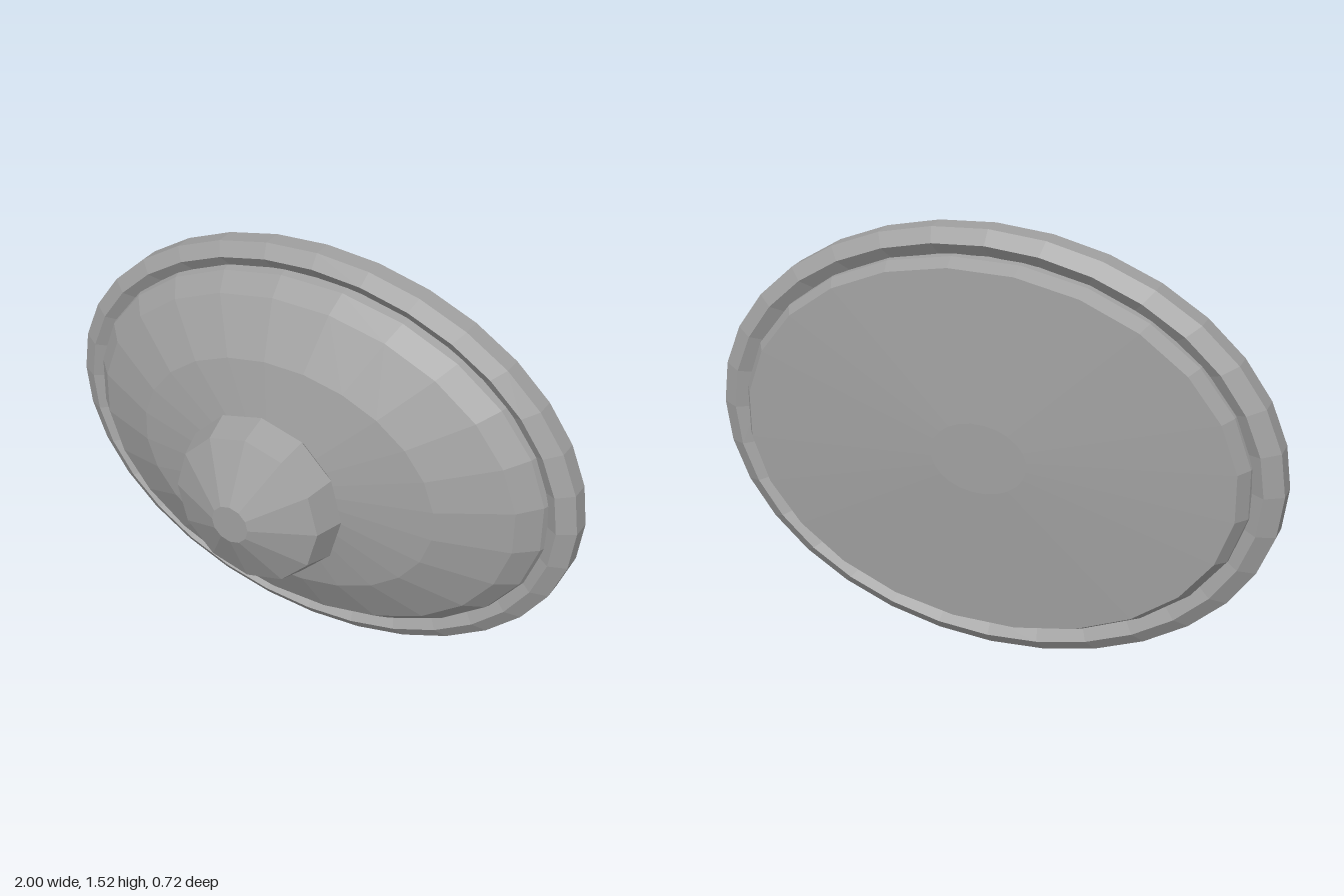
import * as THREE from 'three';

const CENTRE_Y = 0.76;

export function createModel() {
  const model = new THREE.Group();
  model.name = 'shield';
  const metal = new THREE.MeshStandardMaterial({ color: 0xa0a0a0, flatShading: true });
  metal.name = 'grey metal';

  // Lathed part with its axis along z; profile is [radius, z] from back to front
  const turned = (name, profile, sides, squash, offset = 0) => {
    const points = profile.map(([r, z]) => new THREE.Vector2(r, z));
    const geometry = new THREE.LatheGeometry(points, sides, offset * Math.PI * 2 / sides);
    geometry.rotateX(Math.PI / 2).scale(1, squash, 1);
    geometry.computeVertexNormals();
    const mesh = new THREE.Mesh(geometry, metal);
    mesh.name = name;
    mesh.position.y = CENTRE_Y;
    model.add(mesh);
  };

  // Domed oval body with a nearly flat back
  turned('body', [
    [0, -0.36], [0.17, -0.36], [0.868, -0.327], [0.9, -0.28], [0.915, -0.2],
    [0.898, -0.155], [0.828, -0.085], [0.58, 0.02], [0.18, 0.09], [0, 0.09],
  ], 24, 0.742, 0.5);

  // Hexagonal-section rim, with a flat face outward
  const rim = [];
  for (let i = 0; i <= 6; i++) {
    const a = (i - 0.5) * Math.PI / 3;
    rim.push([0.94 + 0.0693 * Math.cos(a), -0.223 + 0.0693 * Math.sin(a)]);
  }
  turned('rim', rim, 32, 0.76);

  // Faceted round boss
  turned('boss', [
    [0, 0.088], [0.24, 0.088], [0.308, 0.157], [0.277, 0.26], [0.07, 0.36], [0, 0.36],
  ], 12, 1);

  return model;
}
